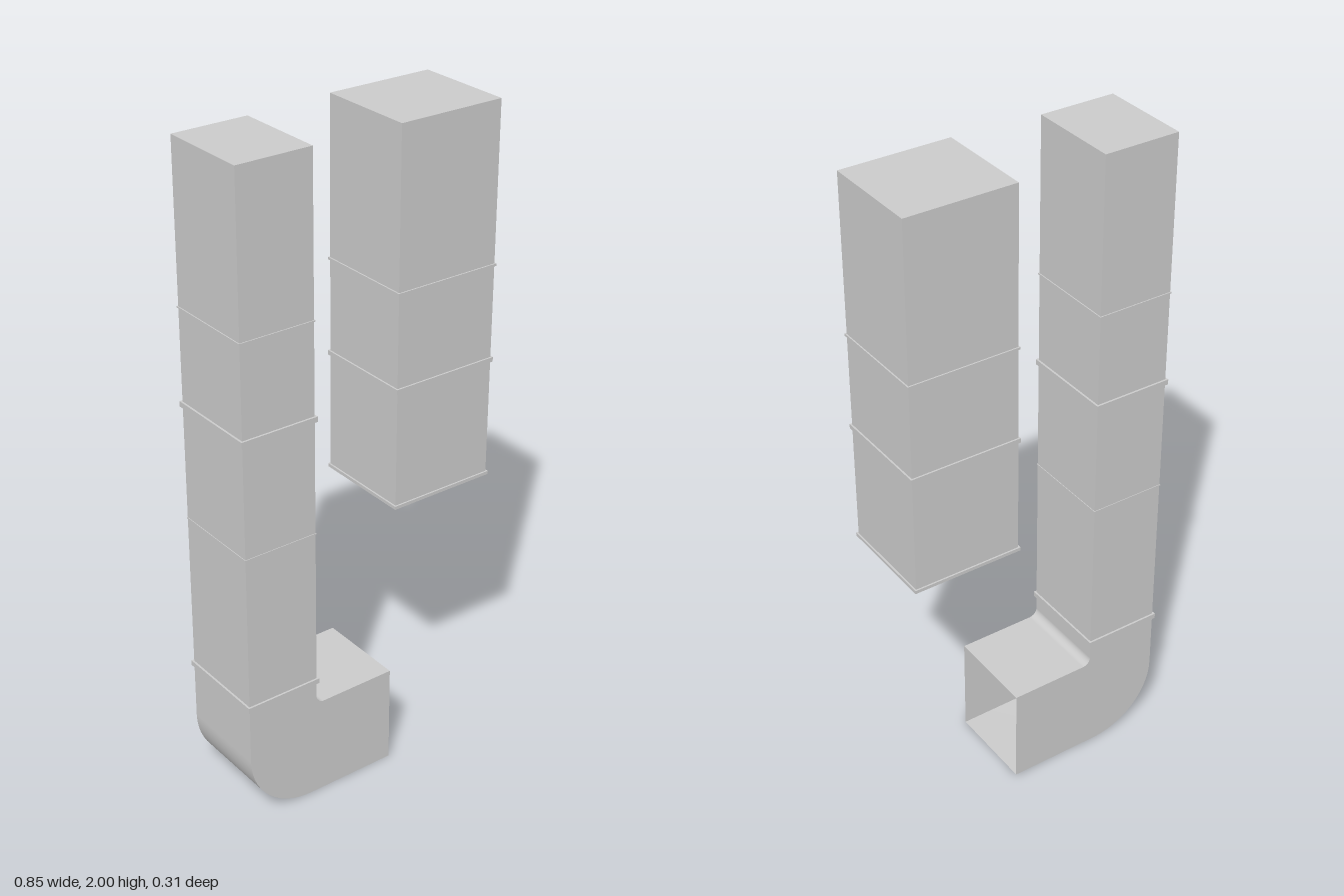
import * as THREE from 'three';

const sheet = new THREE.MeshStandardMaterial({ color: 0xcccccc, side: THREE.DoubleSide });

// Four-sided sheet-metal duct through a row of four-corner sections; long edges stay sharp
function duct(name, sections) {
  const pos = [], idx = [], n = sections.length;
  for (let side = 0; side < 4; side++) {
    const base = side * n * 2;
    sections.forEach((s, i) => {
      pos.push(...s[side], ...s[(side + 1) % 4]);
      if (i < n - 1) {
        const a = base + i * 2;
        idx.push(a, a + 2, a + 3, a, a + 3, a + 1);
      }
    });
  }
  const geo = new THREE.BufferGeometry();
  geo.setAttribute('position', new THREE.Float32BufferAttribute(pos, 3));
  geo.setIndex(idx);
  geo.computeVertexNormals();
  const mesh = new THREE.Mesh(geo, sheet);
  mesh.name = name;
  return mesh;
}

// Section from a left point and a right point, spread over the depth
const section = (l, r, d) => [[...l, d], [...r, d], [...r, -d], [...l, -d]];

// Rectangular collar around a duct
function collar(name, x0, x1, d, y, lip, height) {
  const rect = (C, e) => new C([
    new THREE.Vector2(x0 - e, -d - e), new THREE.Vector2(x1 + e, -d - e),
    new THREE.Vector2(x1 + e, d + e), new THREE.Vector2(x0 - e, d + e)]);
  const shape = rect(THREE.Shape, lip);
  shape.holes.push(rect(THREE.Path, -0.003));
  const geo = new THREE.ExtrudeGeometry(shape, { depth: height, bevelEnabled: false });
  geo.rotateX(-Math.PI / 2);
  const mesh = new THREE.Mesh(geo, sheet);
  mesh.position.y = y - height / 2;
  mesh.name = name;
  return mesh;
}

// Straight vertical run made of segments, closed at the top
function verticalRun(name, x0, x1, d, levels) {
  const run = new THREE.Group();
  run.name = name;
  for (let i = 0; i < levels.length - 1; i++) {
    run.add(duct('ductSegment', [levels[i], levels[i + 1]].map(y => section([x0, y], [x1, y], d))));
  }
  const cap = new THREE.Mesh(new THREE.PlaneGeometry(x1 - x0, d * 2), sheet);
  cap.rotation.x = -Math.PI / 2;
  cap.position.set((x0 + x1) / 2, levels[0], 0);
  cap.name = 'topCap';
  run.add(cap);
  return run;
}

export function createModel() {
  const model = new THREE.Group();
  model.name = 'ventilationDucts';

  // Tall narrow duct
  const nx0 = -0.417, nx1 = -0.185, nd = 0.141;
  const narrow = verticalRun('narrowDuct', nx0, nx1, nd, [1.996, 1.525, 1.24, 0.885, 0.395]);
  for (const y of [1.24, 0.395]) narrow.add(collar('collar', nx0, nx1, nd, y, 0.006, 0.016));
  narrow.add(collar('seam', nx0, nx1, nd, 1.525, 0.003, 0.004));
  narrow.add(collar('seam', nx0, nx1, nd, 0.885, 0.002, 0.004));

  // Rounded elbow opening to the side
  const outerR = 0.21, innerR = 0.025, end = 0.083, top = 0.313, steps = 14;
  const bend = [section([nx0, 0.395], [nx1, 0.395], nd)];
  for (let i = 0; i <= steps; i++) {
    const a = Math.PI + (i / steps) * Math.PI / 2, c = Math.cos(a), s = Math.sin(a);
    bend.push(section(
      [nx0 + outerR + outerR * c, outerR + outerR * s],
      [nx1 + innerR + innerR * c, top + innerR + innerR * s], nd));
  }
  bend.push(section([end, 0], [end, top], nd));
  narrow.add(duct('elbow', bend));

  // Short wide duct, open at the bottom
  const wx0 = 0.085, wx1 = 0.417, wd = 0.152;
  const wide = verticalRun('wideDuct', wx0, wx1, wd, [2, 1.53, 1.243, 0.875]);
  wide.add(collar('seam', wx0, wx1, wd, 1.53, 0.004, 0.007));
  wide.add(collar('collar', wx0, wx1, wd, 1.243, 0.005, 0.014));
  wide.add(collar('bottomCollar', wx0, wx1, wd, 0.879, 0.005, 0.01));

  model.add(narrow, wide);
  return model;
}
